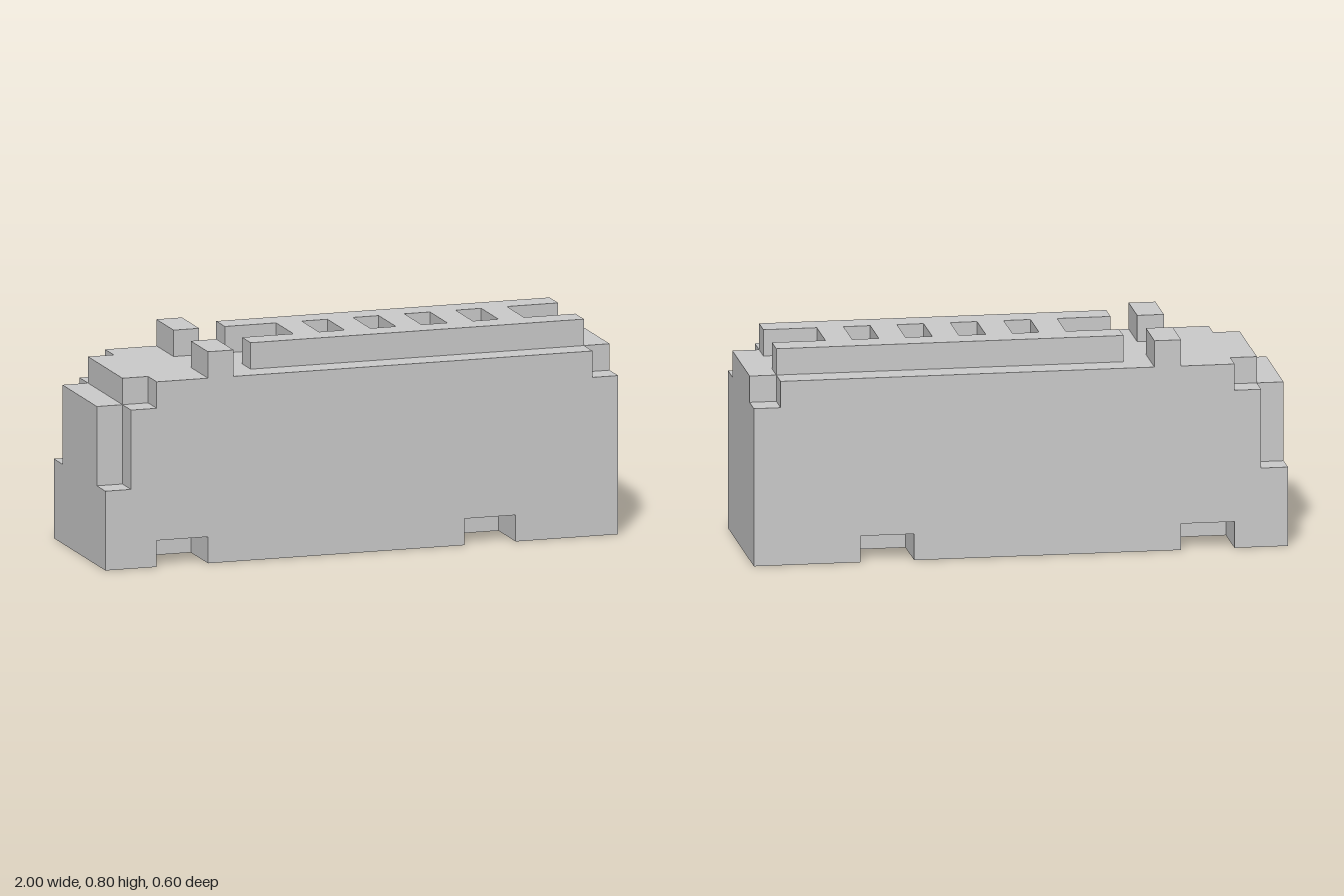
import * as THREE from 'three';

const material = new THREE.MeshStandardMaterial({ color: 0xcccccc, flatShading: true });

// Horizontal slab from y0 to y1. 'half' lists the [x, z] outline on one side,
// end to end; the other side is its mirror image.
function slab(name, y0, y1, half, holes = []) {
  const mirrored = half.map(([x, z]) => [x, -z]).reverse();
  const outline = [...half, ...mirrored].map(([x, z]) => new THREE.Vector2(x, z));
  const shape = new THREE.Shape(outline);
  shape.holes.push(...holes);
  const geometry = new THREE.ExtrudeGeometry(shape, { depth: y1 - y0, bevelEnabled: false });
  geometry.rotateX(-Math.PI / 2);
  geometry.translate(0, y0, 0);
  const mesh = new THREE.Mesh(geometry, material);
  mesh.name = name;
  return mesh;
}

function rectPath(x0, x1, z0, z1) {
  return new THREE.Path([
    new THREE.Vector2(x0, z0), new THREE.Vector2(x1, z0),
    new THREE.Vector2(x1, z1), new THREE.Vector2(x0, z1),
  ]);
}

export function createModel() {
  const model = new THREE.Group();
  model.name = 'steppedBlock';

  // Foot layer with two pairs of side notches
  model.add(slab('base', 0, 0.1, [
    [-1, 0.3], [-0.8, 0.3], [-0.8, 0.1], [-0.6, 0.1], [-0.6, 0.3],
    [0.4, 0.3], [0.4, 0.1], [0.6, 0.1], [0.6, 0.3], [1, 0.3],
  ]));

  // Full-width lower body
  model.add(slab('lowerBody', 0.1, 0.3, [[-1, 0.3], [1, 0.3]]));

  // Upper body, corners cut away at the -x end
  model.add(slab('upperBody', 0.3, 0.6, [
    [-1, 0.2], [-0.9, 0.2], [-0.9, 0.3], [1, 0.3],
  ]));

  // Deck, set back at one end with all four corners cut
  model.add(slab('deck', 0.6, 0.7, [
    [-0.9, 0.2], [-0.8, 0.2], [-0.8, 0.3], [0.9, 0.3], [0.9, 0.2], [1, 0.2],
  ]));

  // Ladder-like rack: two rails joined by crossbars
  const slots = [-0.1, 0.1, 0.3, 0.5].map((x) => rectPath(x, x + 0.1, -0.1, 0.1));
  model.add(slab('rack', 0.7, 0.8, [
    [-0.2, 0.1], [-0.4, 0.1], [-0.4, 0.2], [0.9, 0.2], [0.9, 0.1], [0.7, 0.1],
  ], slots));

  // Pair of posts on the deck
  for (const side of [1, -1]) {
    const post = new THREE.Mesh(new THREE.BoxGeometry(0.1, 0.1, 0.2), material);
    post.position.set(-0.55, 0.75, side * 0.2);
    post.name = side > 0 ? 'frontPost' : 'backPost';
    model.add(post);
  }

  return model;
}
